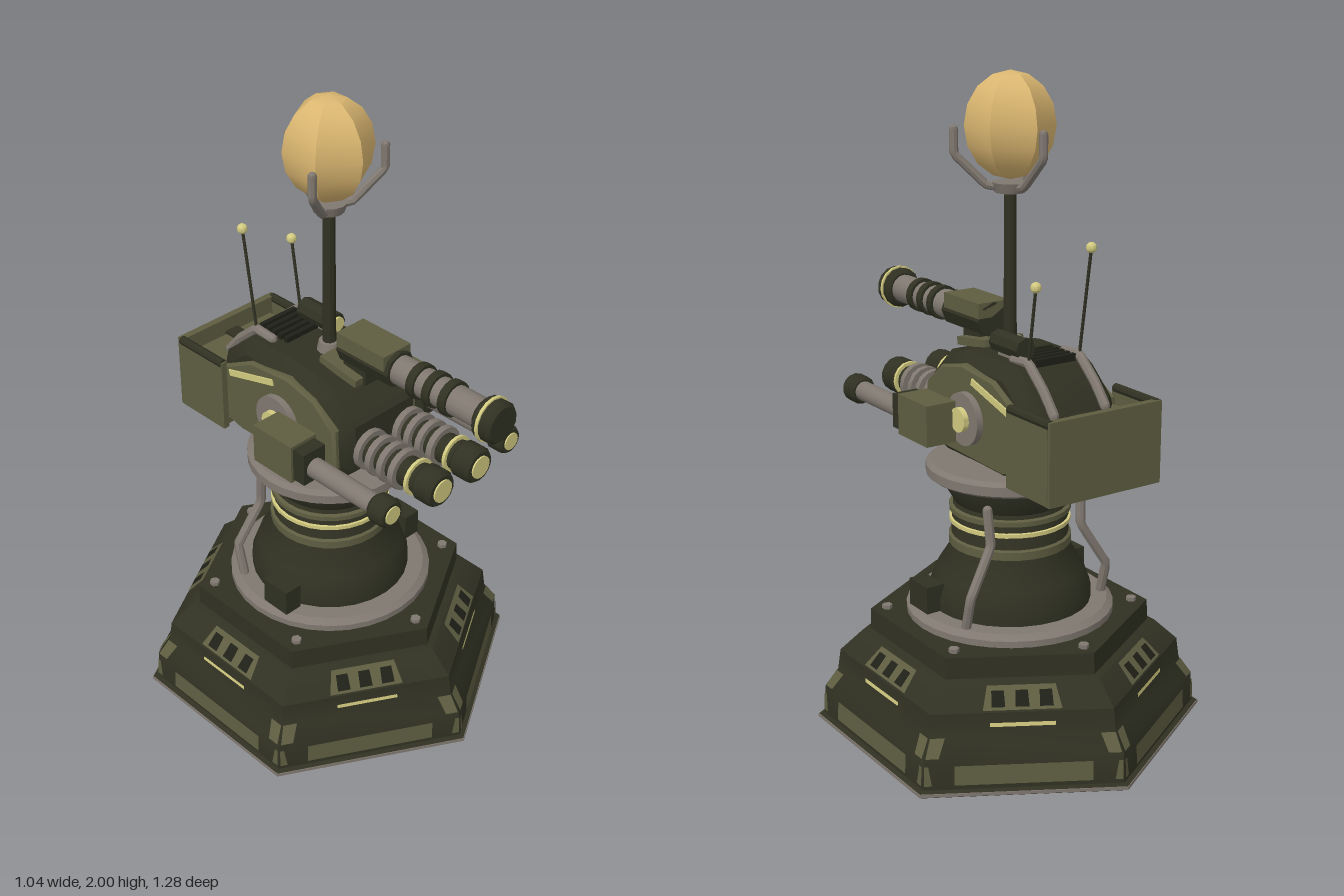
import * as THREE from 'three';
import { toCreasedNormals } from 'three/addons/utils/BufferGeometryUtils.js';

const material = (name, color, side = THREE.FrontSide) => {
  const m = new THREE.MeshStandardMaterial({ color, side });
  m.name = name;
  return m;
};

export function createModel() {
  const dark = material('dark olive', 0x303122);
  const olive = material('olive', 0x5e5d41);
  const grey = material('warm grey', 0x807870);
  const gold = material('pale yellow', 0xd2ca80);
  const tan = material('tan', 0xdab670);
  const black = material('near black', 0x1f2017);
  const CZ = -0.04; // axis of the pedestal
  const model = new THREE.Group();
  model.name = 'turret';
  const V = (x, y, z) => new THREE.Vector3(x, y, z);

  const add = (name, geo, mat, pos = [0, 0, 0], parent = model) => {
    const mesh = new THREE.Mesh(toCreasedNormals(geo, 0.6), mat);
    mesh.name = name;
    mesh.position.set(...pos);
    parent.add(mesh);
    return mesh;
  };
  const lathe = (name, pts, sides, mat, pos = [0, 0, CZ]) =>
    add(name, new THREE.LatheGeometry(pts.map(p => new THREE.Vector2(...p)), sides), mat, pos);
  const box = (name, mat, x0, x1, y0, y1, z0, z1) =>
    add(name, new THREE.BoxGeometry(x1 - x0, y1 - y0, z1 - z0), mat, [(x0 + x1) / 2, (y0 + y1) / 2, (z0 + z1) / 2]);
  // cylinder lying along z
  const barrel = (name, mat, r, z0, z1, x, y, sides = 16) =>
    add(name, new THREE.CylinderGeometry(r, r, z1 - z0, sides).rotateX(Math.PI / 2), mat, [x, y, (z0 + z1) / 2]);
  // dark muzzle with bevelled rims
  const muzzle = (name, r, z0, z1, x, y) =>
    add(name, new THREE.LatheGeometry([[0, z0], [r * 0.8, z0], [r, z0 + 0.012], [r, z1 - 0.012], [r * 0.85, z1], [0, z1]]
      .map(p => new THREE.Vector2(...p)), 14).rotateX(Math.PI / 2), dark, [x, y, 0]);
  const pipe = (name, mat, r, pts, sides = 8) => {
    const path = new THREE.CurvePath();
    for (let i = 1; i < pts.length; i++) path.add(new THREE.LineCurve3(pts[i - 1], pts[i]));
    add(name, new THREE.TubeGeometry(path, (pts.length - 1) * 6, r, sides), mat);
    for (const p of [pts[0], pts[pts.length - 1]]) add(name + 'End', new THREE.SphereGeometry(r, 8, 6), mat, p.toArray());
  };
  // side outline in (z, y) extruded across x
  const sideExtrude = (name, pts, x0, x1, bevel, mat) => {
    const shape = new THREE.Shape(pts.map(p => new THREE.Vector2(...p)));
    const geo = new THREE.ExtrudeGeometry(shape, {
      depth: x1 - x0 - 2 * bevel, bevelEnabled: bevel > 0, bevelThickness: bevel, bevelSize: bevel, bevelOffset: -bevel, bevelSegments: 1,
    });
    return add(name, geo.rotateY(-Math.PI / 2), mat, [x1 - bevel, 0, 0]);
  };

  // Stepped hexagonal base; the profile gives face distance and height
  const steps = [[0.52, 0], [0.52, 0.012], [0.505, 0.016], [0.5, 0.11], [0.465, 0.165], [0.457, 0.23],
    [0.395, 0.295], [0.375, 0.3], [0.372, 0.365]];
  const corner = 1 / Math.cos(Math.PI / 6);
  lathe('base', [[0, 0], ...steps.map(([a, y]) => [a * corner, y]), [0, 0.365]], 6, dark);
  lathe('baseSkid', [[0.5, 0.002], [0.522 * corner, 0.002], [0.522 * corner, 0.012], [0.5, 0.014]], 6, grey);

  // Thin painted plates that follow the slope of a base face
  const distanceAt = y => {
    const i = Math.max(1, steps.findIndex(s => s[1] >= y));
    const [a0, y0] = steps[i - 1], [a1, y1] = steps[i];
    return a0 + (a1 - a0) * (y - y0) / (y1 - y0);
  };
  const facePlate = (parent, name, mat, low, high, y0, y1, lift = 0.004) => {
    const a0 = distanceAt(y0) + lift, a1 = distanceAt(y1) + lift;
    const geo = new THREE.BufferGeometry();
    geo.setAttribute('position', new THREE.Float32BufferAttribute([
      low[0], y0, a0, low[1], y0, a0, high[1], y1, a1, low[0], y0, a0, high[1], y1, a1, high[0], y1, a1], 3));
    add(name, geo, mat, [0, 0, 0], parent);
  };
  for (let k = 0; k < 6; k++) {
    const face = new THREE.Group();
    face.name = 'baseFace';
    face.position.z = CZ;
    face.rotation.y = Math.PI / 2 + k * Math.PI / 3;
    model.add(face);
    facePlate(face, 'lowerPanel', olive, [-0.2, 0.2], [-0.2, 0.2], 0.03, 0.09);
    facePlate(face, 'lightStrip', gold, [-0.095, 0.095], [-0.095, 0.095], 0.19, 0.202, 0.005);
    facePlate(face, 'windowPanel', olive, [-0.115, 0.115], [-0.1, 0.1], 0.236, 0.29);
    for (const u of [-0.07, 0, 0.07]) facePlate(face, 'window', black, [u - 0.02, u + 0.02], [u - 0.018, u + 0.018], 0.244, 0.28, 0.008);
    for (const s of [-1, 1]) {
      const span = (a, b) => s > 0 ? [a, b] : [-b, -a];
      facePlate(face, 'cornerChevron', olive, span(0.245, 0.283), span(0.225, 0.268), 0.113, 0.162);
      facePlate(face, 'cornerBracket', olive, span(0.265, 0.288), span(0.275, 0.287), 0.03, 0.09);
    }
    const a = k * Math.PI / 3;
    add('bolt', new THREE.CylinderGeometry(0.016, 0.016, 0.014, 6), grey, [0.38 * Math.sin(a), 0.37, CZ + 0.38 * Math.cos(a)]);
  }

  // Pedestal
  lathe('baseRing', [[0, 0.365], [0.32, 0.365], [0.32, 0.385], [0.3, 0.4], [0, 0.4]], 32, grey);
  lathe('pedestal', [[0.25, 0.4], [0.25, 0.44], [0.228, 0.5], [0.18, 0.575], [0.178, 0.7], [0.17, 0.72],
    [0.212, 0.79], [0.212, 0.81], [0, 0.81]], 28, dark);
  lathe('lowerCollar', [[0.17, 0.575], [0.188, 0.585], [0.188, 0.61], [0.17, 0.62]], 28, olive);
  lathe('upperCollar', [[0.17, 0.685], [0.186, 0.69], [0.186, 0.705], [0.17, 0.71]], 28, olive);
  lathe('lightRing', [[0.17, 0.653], [0.186, 0.655], [0.186, 0.667], [0.17, 0.669]], 28, gold);
  lathe('turntable', [[0, 0.8], [0.24, 0.8], [0.255, 0.81], [0.255, 0.838], [0.24, 0.85], [0, 0.85]], 32, grey);
  for (const s of [-1, 1]) {
    box('pedestalBox', dark, s * 0.265 - 0.03, s * 0.265 + 0.03, 0.4, 0.485, -0.03, 0.07);
    pipe('pedestalPipe', grey, 0.015, [V(s * 0.17, 0.75, -0.17), V(s * 0.165, 0.64, -0.18), V(s * 0.25, 0.5, -0.2), V(s * 0.25, 0.4, -0.175)]);
  }

  // Turret body, roof and side armour
  sideExtrude('turretBody', [[0.12, 0.855], [0.195, 0.93], [0.19, 1.08], [0.09, 1.175], [-0.02, 1.195], [-0.25, 1.195],
    [-0.36, 1.1], [-0.4, 0.95], [-0.3, 0.855]], -0.16, 0.16, 0.04, dark);
  const armour = [[0.1, 0.89], [0.16, 0.94], [0.155, 1.07], [0.07, 1.14], [-0.04, 1.165], [-0.2, 1.15], [-0.33, 1.08], [-0.33, 0.9], [-0.25, 0.88]];
  for (const s of [-1, 1]) {
    sideExtrude('sideArmour', armour, s * 0.158 - 0.016, s * 0.158 + 0.016, 0.008, olive);
    const strip = add('sideLight', new THREE.BoxGeometry(0.008, 0.02, 0.2), gold, [s * 0.175, 1.1, -0.195]);
    strip.rotation.x = -0.27;
    const disc = (name, mat, r, x0, x1) => add(name, new THREE.CylinderGeometry(r, r, x1 - x0, 24).rotateZ(Math.PI / 2), mat, [s * (x0 + x1) / 2, 1.01, -0.075]);
    disc('pivotDisc', grey, 0.08, 0.16, 0.195);
    disc('pivotLight', gold, 0.037, 0.19, 0.212);
  }
  box('roofPlate', olive, -0.07, 0.07, 1.18, 1.205, -0.01, 0.14).rotation.x = 0.13;
  for (let i = 0; i < 5; i++) box('roofSlat', black, -0.07, 0.07, 1.19, 1.212, -0.27 + i * 0.027, -0.255 + i * 0.027);

  // Rear stowage bin
  box('rearBlock', olive, -0.16, 0.16, 0.9, 1.06, -0.48, -0.31);
  box('rearStrap', dark, -0.025, 0.025, 0.895, 1.068, -0.485, -0.32);
  box('binBack', olive, -0.195, 0.195, 0.865, 1.11, -0.51, -0.487);
  box('binFloor', olive, -0.185, 0.185, 0.865, 0.885, -0.49, -0.32);
  for (const s of [-1, 1]) {
    box('binSide', olive, s * 0.187 - 0.01, s * 0.187 + 0.01, 0.867, 1.105, -0.5, -0.305);
    barrel('binRail', dark, 0.014, -0.5, -0.31, s * 0.187, 1.1, 8);
  }

  for (const s of [-1, 1]) {
    // Twin front guns
    const x = s * 0.08, y = 1.0;
    barrel('frontGun', dark, 0.047, 0.15, 0.43, x, y);
    for (const z of [0.215, 0.26, 0.305, 0.35]) barrel('coolingRing', grey, 0.064, z - 0.01, z + 0.01, x, y);
    barrel('gunLightRing', gold, 0.058, 0.398, 0.408, x, y);
    muzzle('frontMuzzle', 0.057, 0.42, 0.495, x, y);
    barrel('frontLens', gold, 0.036, 0.493, 0.5, x, y);
    // Side guns
    const gx = s * 0.25, gy = 0.99;
    box('sideGunHousing', olive, gx - 0.05, gx + 0.05, 0.935, 1.06, -0.05, 0.11);
    box('sideGunSleeve', dark, gx - 0.042, gx + 0.042, 0.945, 1.05, 0.105, 0.155);
    box('sideGunMount', dark, s * 0.19 - 0.025, s * 0.19 + 0.025, 0.96, 1.03, -0.03, 0.08);
    barrel('sideGun', grey, 0.031, 0.15, 0.42, gx, gy);
    muzzle('sideMuzzle', 0.045, 0.4, 0.465, gx, gy);
    barrel('sideLens', gold, 0.028, 0.462, 0.469, gx, gy);
  }

  // Roof cannon
  const cy = 1.255;
  barrel('roofCannon', grey, 0.045, 0.2, 0.58, 0, cy);
  for (const z of [0.33, 0.39, 0.45]) barrel('cannonRing', dark, 0.054, z - 0.013, z + 0.013, 0, cy);
  muzzle('cannonMuzzle', 0.064, 0.562, 0.633, 0, cy);
  barrel('cannonLightRing', gold, 0.069, 0.588, 0.597, 0, cy);
  barrel('cannonBreech', dark, 0.056, 0.045, 0.25, 0, cy, 8);
  box('breechCover', olive, -0.055, 0.055, 1.265, 1.312, 0.045, 0.235);
  box('cannonFoot', dark, -0.04, 0.04, 1.17, 1.23, 0.06, 0.15);

  // Sight
  barrel('sight', dark, 0.034, -0.22, -0.08, 0.07, 1.232, 8);
  barrel('sightLens', gold, 0.024, -0.082, -0.073, 0.07, 1.232);
  box('sightFoot', grey, 0.055, 0.085, 1.185, 1.21, -0.19, -0.1);

  // Aerials on roof conduits
  for (const [s, top, z] of [[-1, 1.525, -0.31], [1, 1.43, -0.295]]) {
    const x = s * 0.09;
    pipe('roofConduit', grey, 0.015, [V(x, 1.2, -0.19), V(x, 1.205, -0.26), V(x, 1.14, -0.335), V(x, 1.08, -0.385)]);
    pipe('aerial', dark, 0.005, [V(x, 1.2, -0.26), V(x, top, z)], 6);
    add('aerialTip', new THREE.SphereGeometry(0.016, 10, 8), gold, [x, top, z]);
  }

  // Mast, three-pronged cradle and faceted globe
  add('mast', new THREE.CylinderGeometry(0.018, 0.021, 0.5, 10), dark, [0, 1.42, CZ]);
  add('mastFoot', new THREE.CylinderGeometry(0.032, 0.04, 0.04, 12), grey, [0, 1.205, CZ]);
  add('cradleHub', new THREE.CylinderGeometry(0.055, 0.045, 0.03, 12), grey, [0, 1.668, CZ]);
  for (let k = 0; k < 3; k++) {
    const a = Math.PI / 3 + k * Math.PI * 2 / 3;
    const at = (r, y) => V(r * Math.sin(a), y, CZ + r * Math.cos(a));
    pipe('cradleProng', grey, 0.013, [at(0.03, 1.668), at(0.07, 1.675), at(0.162, 1.765), at(0.162, 1.835)]);
  }
  const globe = [];
  for (let i = 0; i <= 8; i++) {
    const t = i * Math.PI / 8;
    globe.push([0.133 * Math.sin(t), 1.845 - 0.155 * Math.cos(t)]);
  }
  lathe('globe', globe, 6, tan);
  return model;
}
